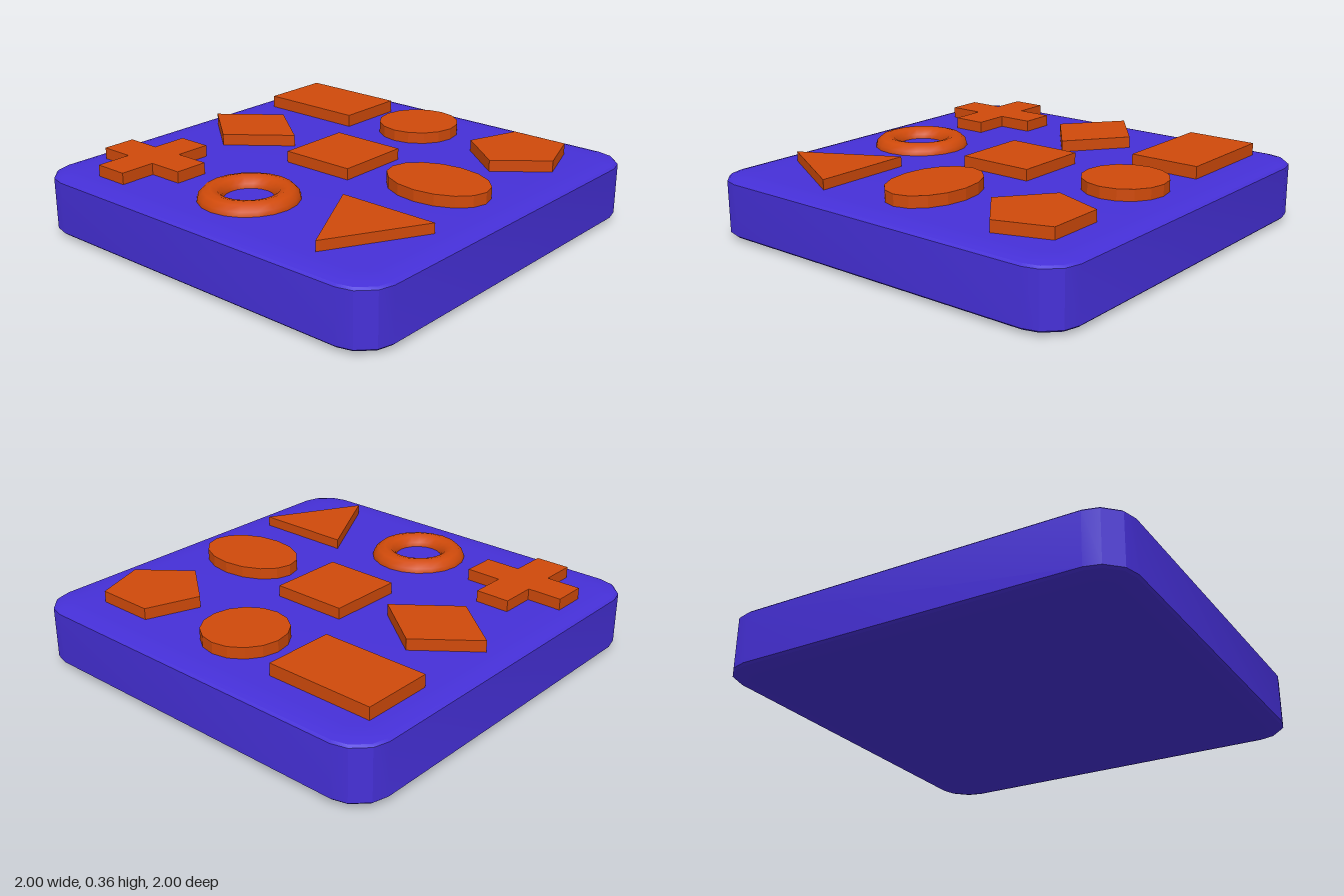
import * as THREE from 'three';
import { toCreasedNormals } from 'three/addons/utils/BufferGeometryUtils.js';

const blue = new THREE.MeshStandardMaterial({ color: 0x4630d8 });
const orange = new THREE.MeshStandardMaterial({ color: 0xd04a0a });

// Upright prism from an outline of [x, z] corners
function prism(points, bottom, top) {
  const shape = new THREE.Shape(points.map(([x, z]) => new THREE.Vector2(x, -z)));
  return new THREE.ExtrudeGeometry(shape, { depth: top - bottom, bevelEnabled: false })
    .rotateX(-Math.PI / 2)
    .translate(0, bottom, 0);
}

const rect = (x0, x1, z0, z1) => [[x0, z0], [x1, z0], [x1, z1], [x0, z1]];

function ellipse(cx, cz, rx, rz, sides = 16) {
  return Array.from({ length: sides }, (_, i) => {
    const a = (i / sides) * Math.PI * 2;
    return [cx + rx * Math.cos(a), cz + rz * Math.sin(a)];
  });
}

// Slab with rounded corners and shallow, softly rolled rims
function createBoard() {
  const inset = 0.14, rim = 0.025, height = 0.3, core = 0.82, r = 0.18 - inset;
  const points = [];
  [[1, 1], [-1, 1], [-1, -1], [1, -1]].forEach(([sx, sy], corner) => {
    for (let i = 0; i <= 3; i++) {
      const a = (corner + i / 3) * Math.PI / 2;
      points.push(new THREE.Vector2(sx * core + r * Math.cos(a), sy * core + r * Math.sin(a)));
    }
  });
  const geometry = new THREE.ExtrudeGeometry(new THREE.Shape(points), {
    depth: height - 2 * rim,
    bevelThickness: rim,
    bevelSize: inset,
    bevelSegments: 4,
  });
  geometry.rotateX(-Math.PI / 2).translate(0, rim, 0);
  return toCreasedNormals(geometry, 0.45);
}

export function createModel() {
  const model = new THREE.Group();
  const add = (name, geometry, material = orange) => {
    const mesh = new THREE.Mesh(geometry, material);
    mesh.name = name;
    model.add(mesh);
  };

  add('board', createBoard(), blue);

  // Raised pieces, each sunk slightly into the board
  const pieces = {
    crossPiece: [0.355, [
      [-0.69, -0.89], [-0.525, -0.89], [-0.525, -0.72], [-0.35, -0.72],
      [-0.35, -0.55], [-0.525, -0.55], [-0.525, -0.375], [-0.69, -0.375],
      [-0.69, -0.55], [-0.865, -0.55], [-0.865, -0.72], [-0.69, -0.72],
    ]],
    diamondPiece: [0.355, [[0.04, -0.88], [0.255, -0.61], [0.04, -0.33], [-0.18, -0.61]]],
    rectanglePiece: [0.36, rect(0.455, 0.805, -0.87, -0.33)],
    squarePiece: [0.355, rect(-0.155, 0.22, -0.195, 0.18)],
    circlePiece: [0.355, ellipse(0.63, -0.01, 0.2, 0.2)],
    trianglePiece: [0.348, [[-0.85, 0.607], [-0.395, 0.36], [-0.395, 0.855]]],
    ovalPiece: [0.355, ellipse(0.013, 0.57, 0.182, 0.26)],
    pentagonPiece: [0.355, [[0.365, 0.605], [0.55, 0.37], [0.805, 0.46], [0.805, 0.745], [0.55, 0.835]]],
  };
  for (const [name, [top, points]] of Object.entries(pieces)) {
    add(name, prism(points, 0.28, top));
  }

  // Ring half embedded in the board
  add('ringPiece', new THREE.TorusGeometry(0.173, 0.062, 12, 20)
    .rotateX(-Math.PI / 2)
    .translate(-0.605, 0.29, -0.005));

  return model;
}
